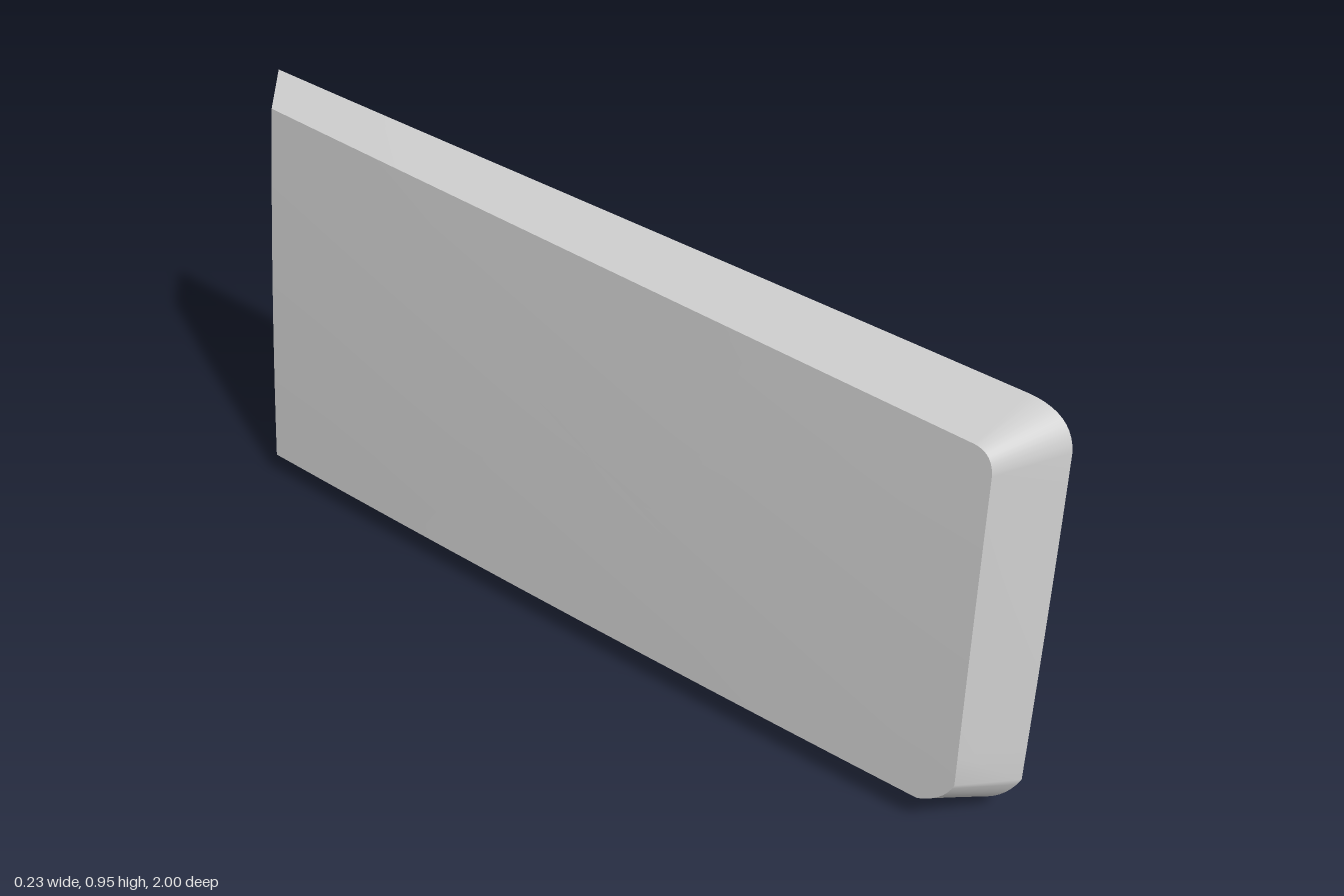
import * as THREE from 'three';

const N = 10; // steps per outline segment

// Outlines as [z, y] start point, then control / end pairs:
// top, upper front corner, front, lower front corner, bottom, back
const RIM = [[-1, 0.953], [-0.1, 0.955], [0.88, 0.921], [0.975, 0.916], [0.985, 0.84],
  [0.998, 0.5], [1, 0.12], [0.96, 0.035], [0.87, 0.027], [0, 0.015], [-0.985, 0.003],
  [-0.99, 0.5], [-1, 0.953]];
const PANEL = [[-0.93, 0.922], [0, 0.924], [0.88, 0.9], [0.922, 0.897], [0.925, 0.85],
  [0.93, 0.5], [0.93, 0.15], [0.91, 0.1], [0.85, 0.075], [0, 0.07], [-0.935, 0.058],
  [-0.932, 0.5], [-0.93, 0.922]];

// Depth of the open rim: deepest at the upper front
function rimX(z, y) {
  const s = Math.pow(THREE.MathUtils.clamp((z + 1) / 2, 0, 1), 1.6);
  const front = 0.005 + 0.105 * y + 0.02 * y * y;
  const back = -0.055 + 0.085 * y + 0.018 * y * y;
  return THREE.MathUtils.lerp(back, front, s);
}

// Leaning, slightly bowed panel
function panelX(z, y) {
  const v = (y - 0.07) / 0.84;
  return -0.121 + 0.056 * v - 0.02 * v * (1 - v) + 0.013 * z * z - 0.004 * z;
}

// Samples an outline, shrunk about the middle by kz and ky, and lifts it by depth(z, y)
function loop(outline, depth, kz = 1, ky = 1, dx = 0) {
  const points = [];
  for (let i = 0; i + 2 < outline.length; i += 2) {
    const curve = new THREE.QuadraticBezierCurve(
      ...[0, 1, 2].map((k) => new THREE.Vector2(...outline[i + k])));
    const samples = curve.getPoints(N);
    if (i > 0) samples.shift();
    for (const p of samples) {
      const z = p.x * kz;
      const y = 0.48 + (p.y - 0.48) * ky;
      points.push(new THREE.Vector3(depth(z, y) + dx, y, z));
    }
  }
  return points;
}

// Smooth surface through rows of points
function skin(name, rows, material) {
  const n = rows[0].length;
  const index = [];
  for (let r = 0; r + 1 < rows.length; r++) {
    for (let i = 0; i + 1 < n; i++) {
      const a = r * n + i, b = a + n;
      index.push(a, a + 1, b + 1, a, b + 1, b);
    }
  }
  const geometry = new THREE.BufferGeometry().setFromPoints(rows.flat());
  geometry.setIndex(index);
  geometry.computeVertexNormals();
  const mesh = new THREE.Mesh(geometry, material);
  mesh.name = name;
  return mesh;
}

export function createModel() {
  const group = new THREE.Group();
  group.name = 'shallowTray';
  const material = new THREE.MeshStandardMaterial({ color: 0xcccccc, side: THREE.DoubleSide });

  const outerRim = loop(RIM, rimX);
  const innerRim = loop(RIM, rimX, 0.992, 0.984);
  const outerPanel = loop(PANEL, panelX);
  const innerPanel = loop(PANEL, panelX, 0.992, 0.975, 0.008);

  // Walls: one smooth run over top, front and bottom, and a separate back wall
  const split = 5 * N;
  const run = (row) => row.slice(0, split + 1);
  const back = (row) => row.slice(split);
  group.add(
    skin('outerWall', [outerPanel, outerRim].map(run), material),
    skin('outerBackWall', [outerPanel, outerRim].map(back), material),
    skin('innerWall', [innerRim, innerPanel].map(run), material),
    skin('innerBackWall', [innerRim, innerPanel].map(back), material),
    skin('rimEdge', [outerRim, innerRim], material),
  );

  // Panel faces: concentric rings from the middle out to the edge
  const rings = [0.001, 0.2, 0.4, 0.6, 0.8, 1];
  group.add(
    skin('outerPanel', rings.map((k) => loop(PANEL, panelX, k, k)), material),
    skin('innerPanel', rings.map((k) => loop(PANEL, panelX, 0.992 * k, 0.975 * k, 0.008)).reverse(), material),
  );
  return group;
}
